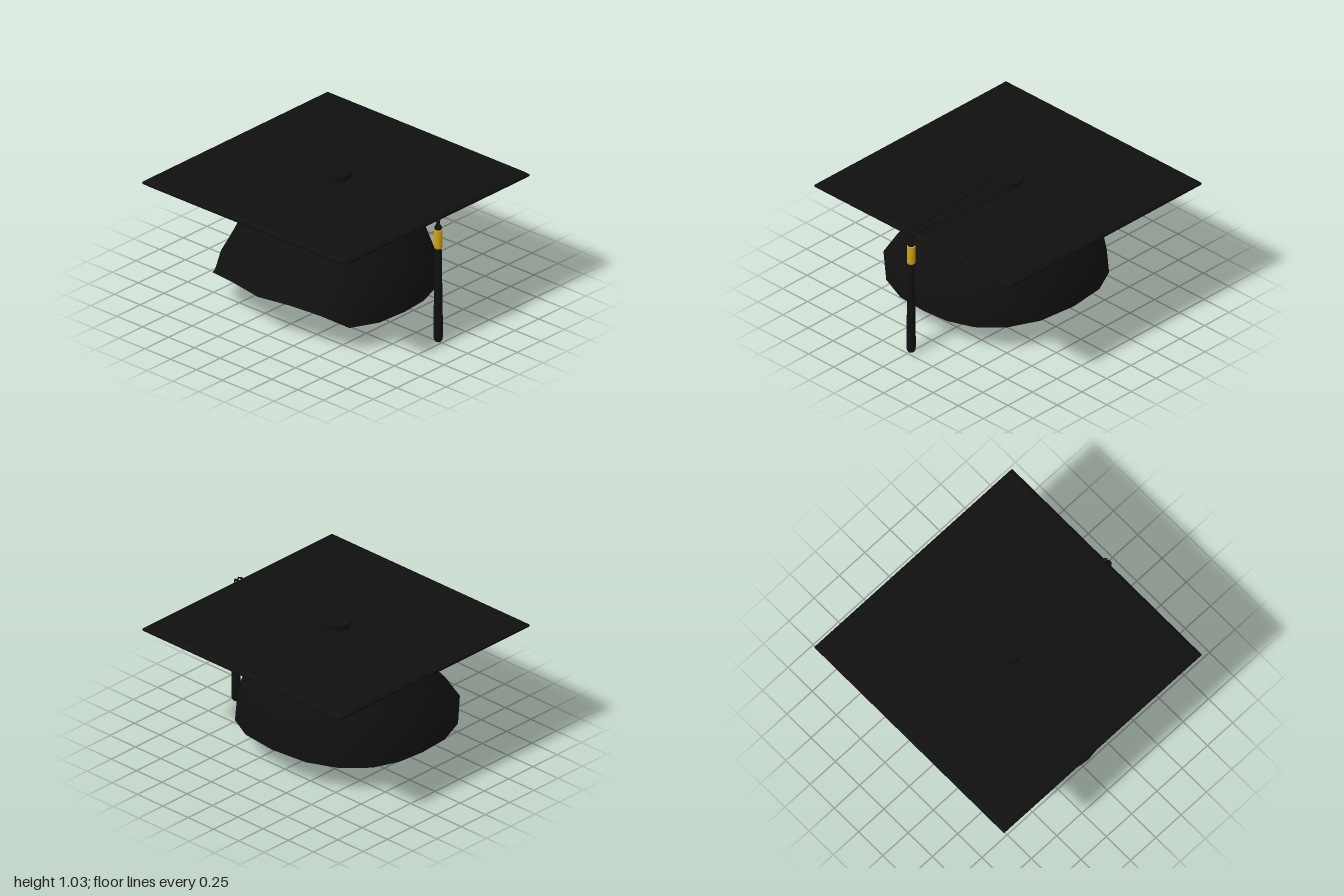
import * as THREE from 'three';

const CX = -0.023; // centre of the cap and board in x

// Front-to-back half of the lower rim: x, y, z, and how strongly it follows the front peak
const RIM = [
  [0, 0.325, 0.825, 1], [0.27, 0.335, 0.79, 1], [0.52, 0.315, 0.735, 0.7],
  [0.655, 0.205, 0.575, 0.25], [0.74, 0.195, 0.35, 0], [0.757, 0.195, 0.1, 0],
  [0.74, 0.198, -0.12, 0], [0.67, 0.203, -0.32, 0], [0.52, 0.213, -0.5, 0],
  [0.3, 0.224, -0.62, 0], [0, 0.23, -0.66, 0],
];
// Rise and inward lean of each ring, from rim to crown
const ROWS = { t: [0, 0.25, 0.5, 0.8, 1], side: [0, 0.05, 0.28, 0.66, 1], front: [0, 0.32, 0.7, 0.86, 1] };

function skullcapGeometry() {
  const mirrored = RIM.slice(1, -1).reverse().map(([x, y, z, w]) => [-x, y, z, w]);
  const columns = [...RIM, ...mirrored];
  const n = columns.length, r = ROWS.t.length;
  const positions = [], index = [];
  columns.forEach(([x, y, z, w], i) => {
    const a = Math.atan2(x / 0.757, (z - 0.08) / 0.74);
    const topX = 0.385 * Math.sin(a), topZ = 0.022 + 0.478 * Math.cos(a), topY = 0.945;
    for (let j = 0; j < r; j++) {
      const f = THREE.MathUtils.lerp(ROWS.side[j], ROWS.front[j], w);
      positions.push(
        CX + THREE.MathUtils.lerp(x, topX, f),
        THREE.MathUtils.lerp(y, topY, ROWS.t[j]),
        THREE.MathUtils.lerp(z, topZ, f),
      );
      if (j < r - 1) {
        const p = i * r + j, q = ((i + 1) % n) * r + j;
        index.push(p, q, q + 1, p, q + 1, p + 1);
      }
    }
  });
  const g = new THREE.BufferGeometry();
  g.setAttribute('position', new THREE.Float32BufferAttribute(positions, 3));
  g.setIndex(index);
  g.computeVertexNormals();
  return g;
}

export function createModel() {
  const model = new THREE.Group();
  const black = new THREE.MeshStandardMaterial({ name: 'black cloth', color: 0x101010, side: THREE.DoubleSide });
  const gold = new THREE.MeshStandardMaterial({ name: 'gold', color: 0xd0a212 });

  const add = (name, geometry, material, x = 0, y = 0, z = 0, parent = model) => {
    const mesh = new THREE.Mesh(geometry, material);
    mesh.name = name;
    mesh.position.set(x, y, z);
    parent.add(mesh);
    return mesh;
  };

  // Open fitted cap with a peaked front
  add('skullcap', skullcapGeometry(), black);

  // Square board with chamfered edges
  const h = 0.952;
  const square = new THREE.Shape([[-h, -h], [h, -h], [h, h], [-h, h]].map(([x, y]) => new THREE.Vector2(x, y)));
  const boardGeometry = new THREE.ExtrudeGeometry(square, {
    depth: 0.015, bevelThickness: 0.02, bevelSize: 0.025, bevelSegments: 1,
  });
  boardGeometry.rotateX(-Math.PI / 2);
  add('board', boardGeometry, black, CX, 0.956, 0);

  // Button in the middle of the board
  add('button', new THREE.CylinderGeometry(0.11, 0.11, 0.04, 24), black, CX, 1.009, 0);

  // Tassel: two cords, knot, gold band and fringe
  const tassel = new THREE.Group();
  tassel.name = 'tassel';
  model.add(tassel);
  const tx = 0.965;
  for (const s of [1, -1]) {
    const path = new THREE.CurvePath();
    const points = [[0, 1, 0.1], [0.94, 0.995, 0.022], [tx, 0.975, 0.014], [tx, 0.91, 0.004]]
      .map(([x, y, z]) => new THREE.Vector3(x, y, z * s));
    path.add(new THREE.LineCurve3(points[0], points[1]));
    path.add(new THREE.QuadraticBezierCurve3(points[1], new THREE.Vector3(tx, 0.995, 0.018 * s), points[2]));
    path.add(new THREE.LineCurve3(points[2], points[3]));
    add(s > 0 ? 'frontCord' : 'backCord', new THREE.TubeGeometry(path, 48, 0.007, 8), black, 0, 0, 0, tassel);
  }
  add('knot', new THREE.SphereGeometry(0.027, 16, 12), black, tx, 0.908, 0, tassel);

  const bandProfile = [[0, 0.745], [0.027, 0.745], [0.031, 0.755], [0.031, 0.882], [0.026, 0.892], [0, 0.892]];
  const fringeProfile = [[0, 0], [0.02, 0.003], [0.03, 0.015], [0.034, 0.04], [0.033, 0.2], [0.026, 0.7], [0.025, 0.76]];
  const lathe = (profile) => new THREE.LatheGeometry(profile.map(([x, y]) => new THREE.Vector2(x, y)), 20);
  add('band', lathe(bandProfile), gold, tx, 0, 0, tassel);
  add('fringe', lathe(fringeProfile), black, tx, 0, 0, tassel);

  return model;
}
